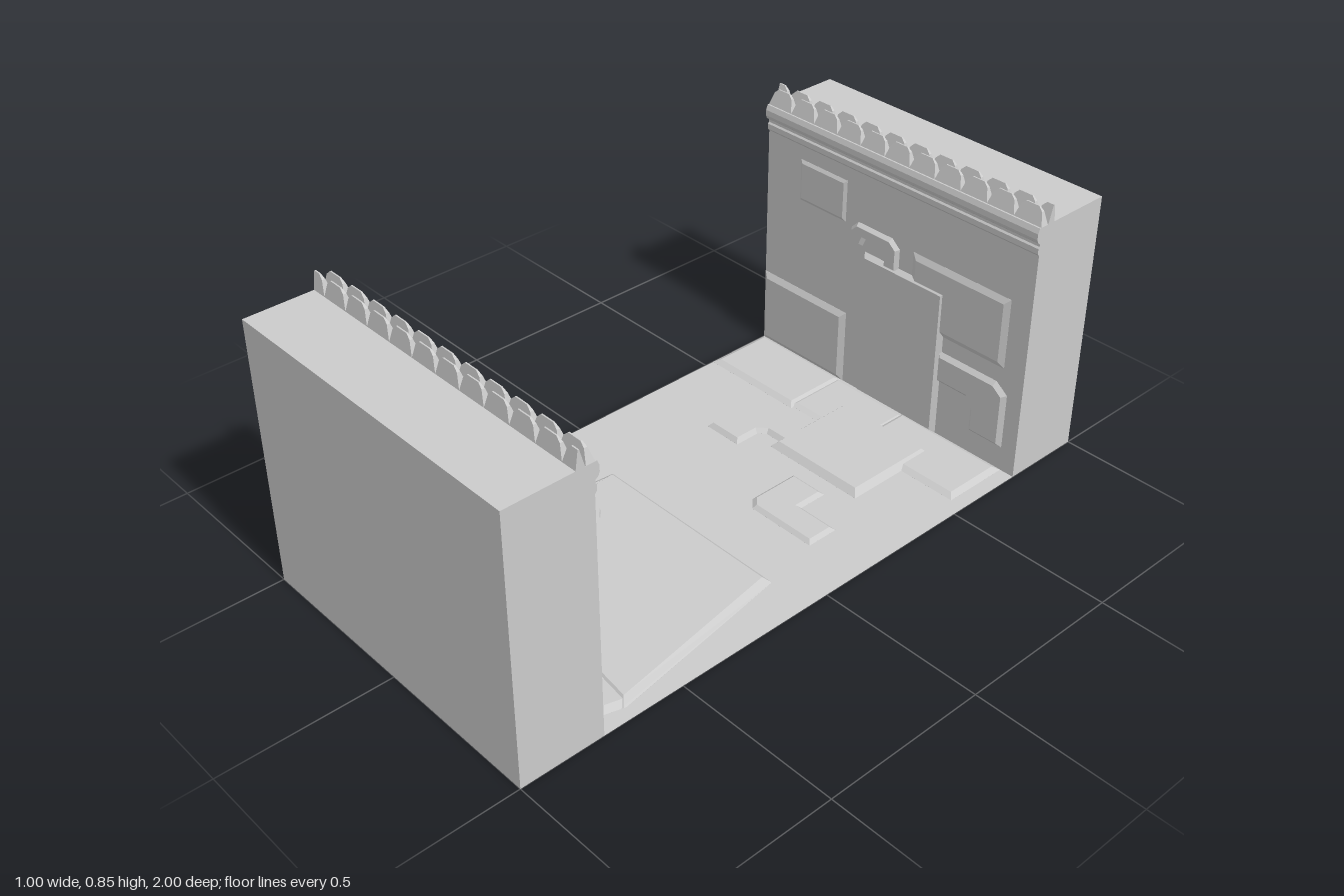
import * as THREE from 'three';

const mat = new THREE.MeshStandardMaterial({ color: 0xcccccc, flatShading: true, side: THREE.DoubleSide });

function add(parent, geometry, name) {
  const mesh = new THREE.Mesh(geometry, mat);
  mesh.name = name;
  parent.add(mesh);
  return mesh;
}

const outline = (pts) => new THREE.Shape(pts.map(([x, y]) => new THREE.Vector2(x, y)));
const rect = (x0, y0, x1, y1) => [[x0, y0], [x1, y0], [x1, y1], [x0, y1]];

// Low plate with sloped edges, rising along +z from z = 0
function plate(pts, height, bevel = 0.018) {
  const g = new THREE.ExtrudeGeometry(outline(pts), {
    depth: 0.0005, bevelEnabled: true, bevelSegments: 1,
    bevelThickness: height, bevelSize: bevel, bevelOffset: -bevel,
  });
  const p = g.attributes.position;
  for (let i = 0; i < p.count; i++) p.setZ(i, Math.max(p.getZ(i), 0.0004));
  g.computeVertexNormals();
  return g;
}

// Hollow block without a bottom
function openBlock(w, h, d) {
  const g = new THREE.BoxGeometry(w, h, d);
  const idx = Array.from(g.index.array);
  idx.splice(18, 6);
  g.setIndex(idx);
  return g;
}

// Scale-shaped roof tile: thick at the base, thin at the crest, clipped at the wall ends
function tile(cx, height) {
  const s = [[-0.0455, 0], [-0.034, 0.76], [-0.021, 1], [0.021, 1], [0.034, 0.76], [0.0455, 0]];
  const g = new THREE.ExtrudeGeometry(outline(s.map(([x, y]) => [x + cx, y * height])), {
    depth: 0.026, bevelEnabled: false,
  });
  const p = g.attributes.position;
  for (let i = 0; i < p.count; i++) {
    const t = p.getY(i) / height;
    p.setX(i, THREE.MathUtils.clamp(p.getX(i), -0.5, 0.5));
    p.setZ(i, THREE.MathUtils.lerp(p.getZ(i), 0.009, t * 0.85));
  }
  g.computeVertexNormals();
  return g;
}

// Wall standing behind z = -0.75 and facing +z
function makeWall(name, panels) {
  const wall = new THREE.Group();
  wall.name = name;
  add(wall, openBlock(1, 0.8, 0.25), 'wallBlock').position.set(0, 0.4, -0.875);

  // Stepped moulding below the tiles: [distance out from the wall, y]
  const profile = [[0, 0.715], [0.006, 0.722], [0.006, 0.738], [0.002, 0.743], [0.002, 0.751],
    [0.011, 0.758], [0.015, 0.768], [0.015, 0.785], [0.009, 0.8], [0, 0.8]];
  const cornice = new THREE.ExtrudeGeometry(outline(profile), { depth: 1, bevelEnabled: false });
  cornice.rotateY(-Math.PI / 2);
  add(wall, cornice, 'cornice').position.set(0.5, 0, -0.75);

  // Two staggered tile rows
  const step = 1 / 11;
  for (let i = 0; i < 12; i++) {
    add(wall, tile(-0.5 + i * step, 0.052), 'outerTile').position.set(0, 0.8, -0.8);
    if (i < 11) add(wall, tile(-0.5 + (i + 0.5) * step, 0.049), 'innerTile').position.set(0, 0.8, -0.772);
  }

  for (const [label, pts, h, b] of panels) add(wall, plate(pts, h, b), label).position.z = -0.75;
  return wall;
}

// Relief on the back wall: [name, outline in x/y, height, bevel]
const backPanels = [
  ['windowPlate', rect(-0.365, 0.54, -0.18, 0.672), 0.006, 0.01],
  ['lowPlate', rect(-0.5, 0, -0.16, 0.24), 0.011],
  ['sidePlate', rect(0.08, 0.33, 0.43, 0.55), 0.009],
  ['tallPlate', rect(-0.1, 0, 0.21, 0.475), 0.014, 0.012],
  ['upperHook', [[-0.155, 0.49], [-0.155, 0.535], [-0.13, 0.56], [0, 0.56], [0.03, 0.535], [0.03, 0.46],
    [-0.025, 0.46], [-0.025, 0.5], [-0.05, 0.515], [-0.1, 0.515], [-0.11, 0.49]], 0.012, 0.009],
  ['lowerHook', [[0.2, 0.28], [0.41, 0.28], [0.45, 0.25], [0.45, 0.075], [0.33, 0.075], [0.33, 0.15],
    [0.31, 0.18], [0.2, 0.18]], 0.012, 0.013],
];

// Relief on the front wall, drawn as seen when facing it
const frontPanels = [
  ['cornerPlate', [[0.08, 0.67], [0.475, 0.67], [0.485, 0], [0.41, 0]], 0.012, 0.02],
  ['brokenPlate', [[-0.475, 0.68], [-0.29, 0.55], [-0.21, 0.485], [-0.14, 0.475], [-0.13, 0.54], [-0.1, 0.55],
    [0.01, 0.53], [0, 0.44], [-0.05, 0.25], [0.08, 0.22], [0.1, 0], [-0.46, 0]], 0.008],
  ['slantedPlate', [[-0.385, 0.46], [-0.23, 0.4], [-0.08, 0.4], [-0.05, 0.25], [0.06, 0.2], [0.08, 0], [-0.43, 0]], 0.013, 0.03],
  ['edgePlate', [[-0.49, 0], [-0.49, 0.33], [-0.42, 0.33], [-0.4, 0.31], [-0.4, 0]], 0.013, 0.012],
];

// Relief on the floor: outlines in x/z
const floorPanels = [
  ['backLeftPlate', rect(-0.5, -0.75, -0.16, -0.53), 0.01],
  ['backCentrePlate', rect(-0.18, -0.75, 0.1, -0.54), 0.006],
  ['backRightPlate', rect(0.08, -0.75, 0.455, -0.54), 0.01],
  ['squarePlate', rect(-0.065, -0.66, 0.27, -0.35), 0.018],
  ['backHook', [[-0.04, -0.475], [-0.235, -0.475], [-0.26, -0.45], [-0.26, -0.285], [-0.135, -0.285],
    [-0.135, -0.365], [-0.115, -0.385], [-0.04, -0.385]], 0.013, 0.012],
  ['smallCornerPlate', [[0.08, -0.3], [0.2, -0.3], [0.2, -0.21], [0.33, -0.21], [0.33, -0.11], [0.11, -0.11],
    [0.08, -0.14]], 0.01, 0.012],
  ['widePlate', [[-0.27, 0.07], [0.37, 0.07], [0.463, 0.65], [0.435, 0.75], [-0.5, 0.75], [-0.29, 0.3]], 0.013],
  ['raisedPlate', [[-0.27, 0.07], [0.37, 0.07], [0.463, 0.66], [-0.11, 0.59], [-0.25, 0.4]], 0.019, 0.02],
  ['frontHook', [[-0.43, 0.21], [-0.14, 0.21], [-0.11, 0.24], [-0.11, 0.405], [-0.305, 0.405], [-0.305, 0.335],
    [-0.33, 0.31], [-0.43, 0.305]], 0.027, 0.012],
];

export function createModel() {
  const model = new THREE.Group();
  model.name = 'trenchSection';

  const floor = new THREE.Group();
  floor.name = 'floor';
  add(floor, new THREE.PlaneGeometry(1, 1.5).rotateX(-Math.PI / 2), 'floorSurface');
  for (const [label, pts, h, b] of floorPanels) {
    add(floor, plate(pts.map(([x, z]) => [x, -z]), h, b).rotateX(-Math.PI / 2), label);
  }
  model.add(floor);

  model.add(makeWall('backWall', backPanels));
  const frontWall = makeWall('frontWall', frontPanels);
  frontWall.rotation.y = Math.PI;
  model.add(frontWall);
  return model;
}
